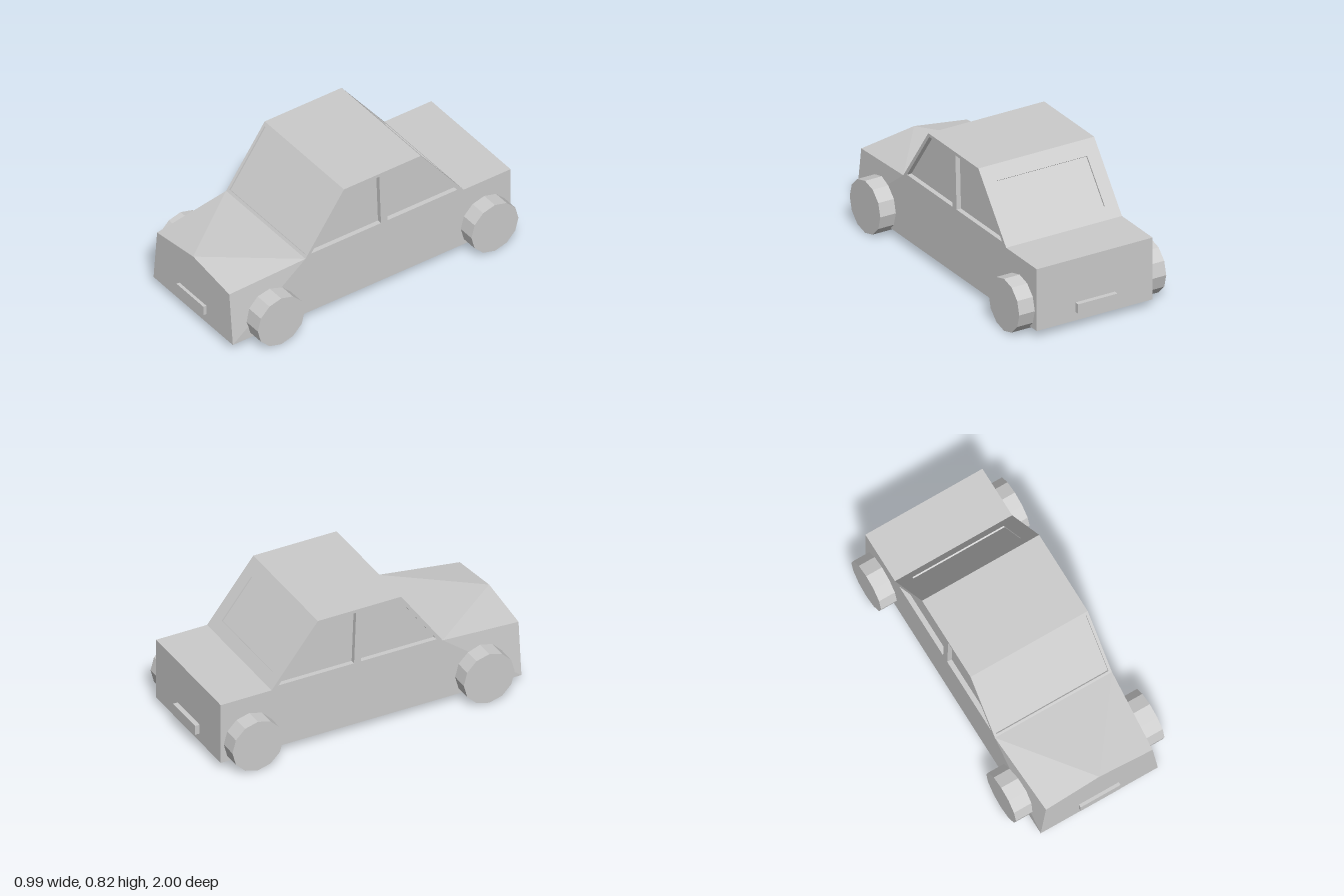
import * as THREE from 'three';
import { ConvexGeometry } from 'three/addons/geometries/ConvexGeometry.js';

const grey = new THREE.MeshStandardMaterial({ color: 0xcccccc, flatShading: true, side: THREE.DoubleSide });

const HALF = 0.39; // half width of the body
const BELT = 0.44, ROOF = 0.82; // heights of cabin base and roof

function addMesh(parent, name, geometry, x = 0, y = 0, z = 0) {
  const mesh = new THREE.Mesh(geometry, grey);
  mesh.name = name;
  mesh.position.set(x, y, z);
  parent.add(mesh);
  return mesh;
}

const toShape = (points) => new THREE.Shape(points.map(([x, y]) => new THREE.Vector2(x, y)));

// Walls running inward from the edge of a window opening
function revealGeometry(points, depth) {
  const pos = [];
  points.forEach(([ax, ay], i) => {
    const [bx, by] = points[(i + 1) % points.length];
    pos.push(ax, ay, 0, bx, by, 0, bx, by, -depth, ax, ay, 0, bx, by, -depth, ax, ay, -depth);
  });
  const g = new THREE.BufferGeometry();
  g.setAttribute('position', new THREE.Float32BufferAttribute(pos, 3));
  g.computeVertexNormals();
  return g;
}

// Flat wall facing +z with recessed windows
function windowWall(name, outline, windows, depth) {
  const wall = new THREE.Group();
  wall.name = name;
  const frame = toShape(outline);
  windows.forEach((w) => frame.holes.push(toShape(w)));
  addMesh(wall, 'frame', new THREE.ShapeGeometry(frame));
  windows.forEach((w) => {
    addMesh(wall, 'windowReveal', revealGeometry(w, depth));
    addMesh(wall, 'windowPane', new THREE.ShapeGeometry(toShape(w)), 0, 0, -depth);
  });
  return wall;
}

// Sloping end wall of the cabin with one trapezoid-free rectangular window
function slopedWall(name, zBase, zTop, halfWindow, yLow, yHigh, depth) {
  const run = Math.abs(zBase - zTop), rise = ROOF - BELT;
  const length = Math.hypot(run, rise);
  const along = (y) => ((y - BELT) / rise) * length;
  const rect = (w, a, b) => [[-w, a], [w, a], [w, b], [-w, b]];
  const wall = windowWall(name, rect(HALF, 0, length), [rect(halfWindow, along(yLow), along(yHigh))], depth);
  wall.rotation.order = 'YXZ';
  wall.rotation.set(-Math.atan2(run, rise), zBase > 0 ? 0 : Math.PI, 0);
  wall.position.set(0, BELT, zBase);
  return wall;
}

export function createModel() {
  const car = new THREE.Group();
  car.name = 'car';

  // Lower body with a tapered nose and a peaked bonnet
  const corners = [new THREE.Vector3(0, BELT, 0.98)];
  for (const s of [-1, 1]) {
    for (const [x, y, z] of [
      [HALF, 0.047, -0.97], [HALF, BELT, -0.97], [HALF, BELT, 0.47],
      [HALF, 0.047, 0.98], [0.355, 0.39, 0.98],
    ]) corners.push(new THREE.Vector3(s * x, y, z));
  }
  addMesh(car, 'body', new ConvexGeometry(corners));

  // Cabin: profile points are [z, y]
  const cabin = new THREE.Group();
  cabin.name = 'cabin';
  car.add(cabin);
  const profile = [[0.47, BELT], [0.2, ROOF], [-0.34, ROOF], [-0.64, BELT]];
  const frontWindow = [[0.43, 0.46], [0.19, 0.8], [-0.048, 0.8], [-0.06, 0.46]];
  const rearWindow = [[-0.105, 0.46], [-0.092, 0.8], [-0.33, 0.8], [-0.595, 0.46]];
  for (const s of [-1, 1]) {
    const place = (points) => points.map(([z, y]) => [-s * z, y]);
    const side = windowWall(s > 0 ? 'leftCabinSide' : 'rightCabinSide',
      place(profile), [place(frontWindow), place(rearWindow)], 0.03);
    side.rotation.y = s * Math.PI / 2;
    side.position.x = s * HALF;
    cabin.add(side);
  }
  cabin.add(slopedWall('windscreen', 0.47, 0.2, 0.373, 0.455, 0.802, 0.01));
  cabin.add(slopedWall('rearScreen', -0.64, -0.34, 0.305, 0.503, 0.744, 0.01));
  addMesh(cabin, 'roof', new THREE.PlaneGeometry(2 * HALF, 0.54).rotateX(-Math.PI / 2), 0, ROOF, -0.07);

  // Wheels
  const wheel = new THREE.CylinderGeometry(0.165, 0.165, 0.245, 12).rotateZ(Math.PI / 2);
  for (const s of [-1, 1]) {
    addMesh(car, 'frontWheel', wheel, s * 0.3725, 0.165, 0.715);
    addMesh(car, 'rearWheel', wheel, s * 0.3725, 0.165, -0.785);
  }

  // Plates on nose and tail
  const plate = new THREE.BoxGeometry(0.266, 0.06, 0.04);
  addMesh(car, 'frontPlate', plate, -0.003, 0.137, 0.98);
  addMesh(car, 'rearPlate', plate, -0.003, 0.132, -0.98);

  return car;
}
